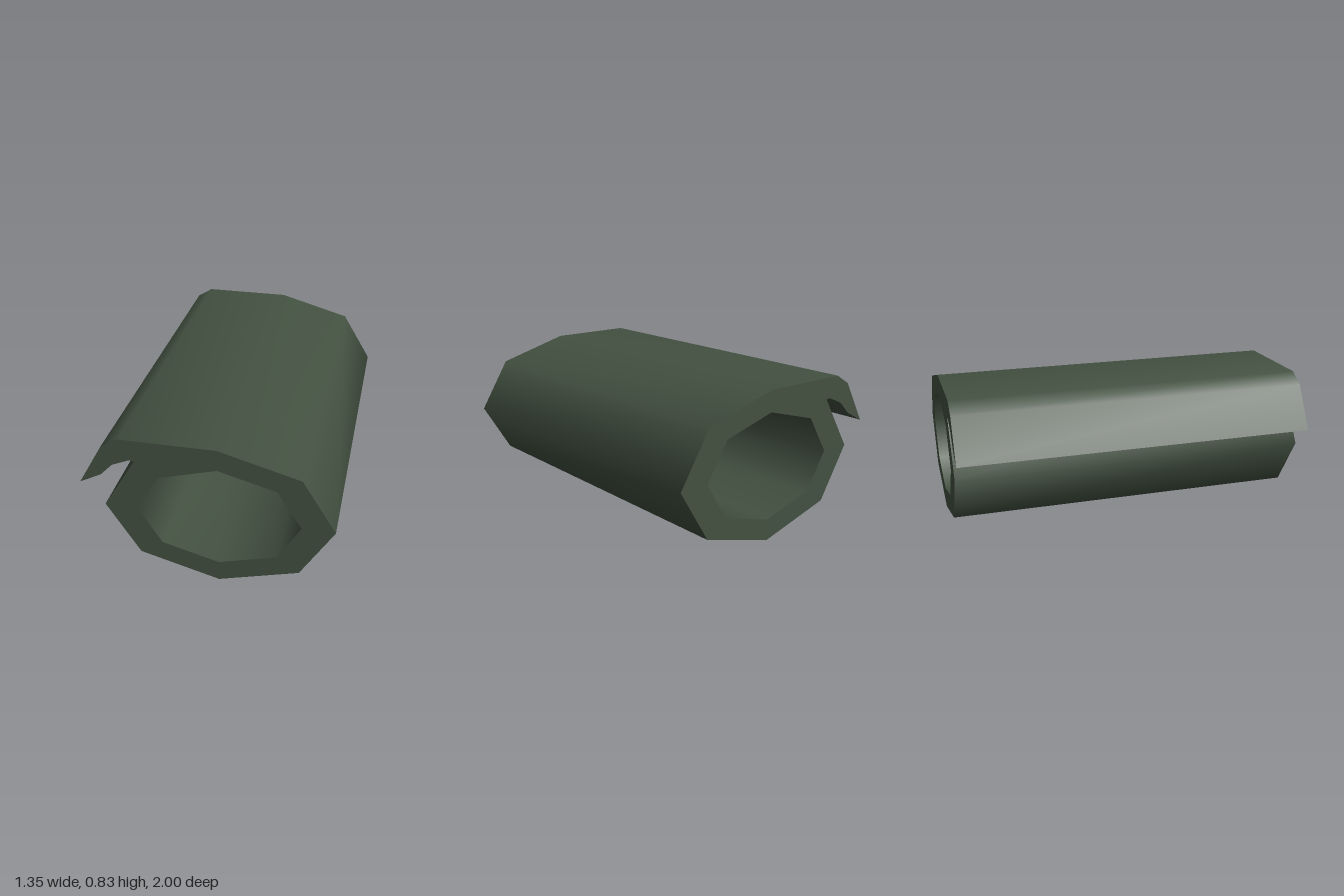
import * as THREE from 'three';
import { toCreasedNormals } from 'three/addons/utils/BufferGeometryUtils.js';

const CX = 0.063, CY = 0.415, LENGTH = 2;

// Corner k of an eight-sided oval ring, counted anticlockwise from +x
function corner(rx, ry, k) {
  const a = k * Math.PI / 4;
  return new THREE.Vector2(CX + rx * Math.cos(a), CY + ry * Math.sin(a));
}

export function createModel() {
  const model = new THREE.Group();
  const darkGreen = new THREE.MeshStandardMaterial({ color: 0x435141 });
  darkGreen.name = 'darkGreen';

  // Outer octagon, with the overhanging lip in place of its upper left side
  const outline = [0, 1, 2].map(k => corner(0.61, 0.415, k));
  const lip = [
    [-0.452, 0.83], [-0.542, 0.775], [-0.675, 0.54], [-0.557, 0.602],
    [-0.49, 0.671], [-0.395, 0.712],
  ];
  lip.forEach(([x, y]) => outline.push(new THREE.Vector2(x, y)));
  for (let k = 3; k < 8; k++) outline.push(corner(0.61, 0.415, k));

  // Octagonal bore
  const bore = [];
  for (let k = 7; k >= 0; k--) bore.push(corner(0.436, 0.296, k));

  const shape = new THREE.Shape(outline);
  shape.holes.push(new THREE.Path(bore));

  // Smooth along the sides, sharp at the end faces and lip
  const geometry = new THREE.ExtrudeGeometry(shape, { depth: LENGTH, bevelEnabled: false });
  geometry.translate(0, 0, -LENGTH / 2);
  const tube = new THREE.Mesh(toCreasedNormals(geometry, 1.2), darkGreen);
  tube.name = 'lippedTube';
  model.add(tube);
  return model;
}
